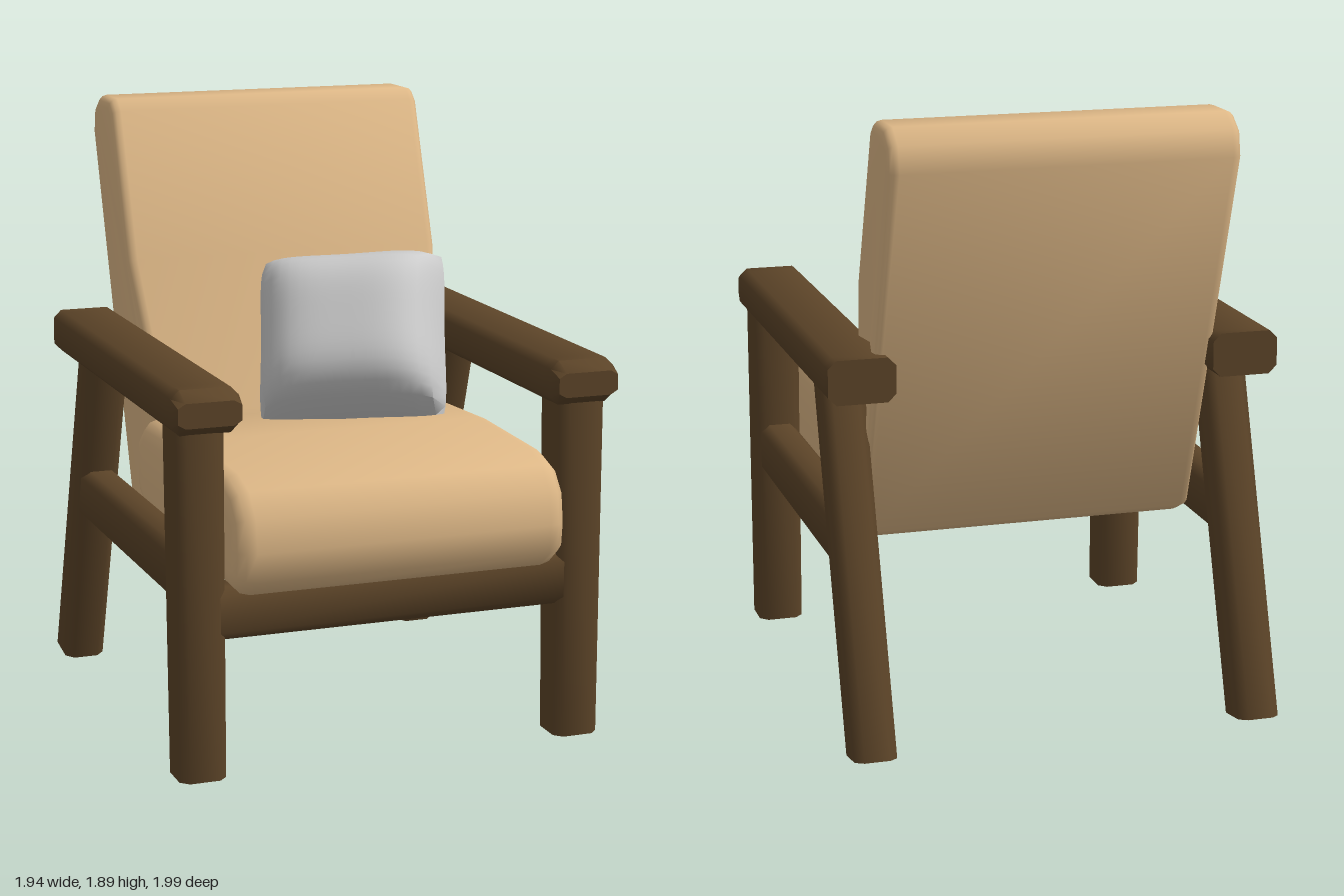
import * as THREE from 'three';
import { toCreasedNormals } from 'three/addons/utils/BufferGeometryUtils.js';

const wood = new THREE.MeshStandardMaterial({ color: 0x5c4428 });
const fabric = new THREE.MeshStandardMaterial({ color: 0xdeb887 });
const grey = new THREE.MeshStandardMaterial({ color: 0xcccccc });

// Move every vertex of a geometry by a rule
function warp(geo, rule) {
  const p = geo.attributes.position, v = new THREE.Vector3();
  for (let i = 0; i < p.count; i++) {
    v.fromBufferAttribute(p, i);
    rule(v);
    p.setXYZ(i, v.x, v.y, v.z);
  }
  return geo;
}

// Beam with chamfered long edges, running from z = 0 to z = length
function beam(w, h, c, length, steps = 1) {
  const a = w / 2, b = h / 2;
  const outline = [[a, c - b], [a, b - c], [a - c, b], [c - a, b], [-a, b - c], [-a, c - b], [c - a, -b], [a - c, -b]];
  const shape = new THREE.Shape(outline.map(([x, y]) => new THREE.Vector2(x, y)));
  return new THREE.ExtrudeGeometry(shape, { depth: length, steps, bevelEnabled: false });
}

// Cushion from a side profile of [z, y] points, with rounded left and right edges
function cushion(profile, halfWidth, bevel) {
  const shape = new THREE.Shape(profile.map(([z, y]) => new THREE.Vector2(z, y)));
  const geo = new THREE.ExtrudeGeometry(shape, {
    depth: 2 * (halfWidth - bevel), bevelThickness: bevel, bevelSize: bevel,
    bevelOffset: -bevel, bevelSegments: 3,
  });
  geo.translate(0, 0, bevel - halfWidth);
  return geo.rotateY(-Math.PI / 2);
}

function add(parent, name, geo, material, x = 0, y = 0, z = 0) {
  const mesh = new THREE.Mesh(toCreasedNormals(geo, 0.9), material);
  mesh.name = name;
  mesh.position.set(x, y, z);
  parent.add(mesh);
  return mesh;
}

// One half of the pillow: a plane swollen in the middle, with rounded corners and drawn-in sides
function pillowHalf(thickness) {
  const geo = new THREE.PlaneGeometry(2, 2, 18, 18);
  warp(geo, (v) => {
    const u = v.x, w = v.y;
    const corner = 1 - 0.06 * u ** 4 * w ** 4;
    v.x = 0.31 * u * corner * (1 - 0.04 * (1 - w * w));
    v.y = 0.285 * w * corner * (1 - 0.06 * (1 - u * u));
    v.z = thickness * Math.pow((1 - u ** 4) * (1 - w ** 4), 0.5);
  });
  geo.computeVertexNormals();
  return geo;
}

export function createModel() {
  const model = new THREE.Group();
  model.name = 'armchair';

  // The chair is turned a little to its left
  const chair = new THREE.Group();
  chair.name = 'chair';
  chair.rotation.y = 0.533;
  chair.position.set(-0.005, 0, 0.003);
  model.add(chair);

  for (const [side, s] of [['left', 1], ['right', -1]]) {
    const x = s * 0.605;

    // Armrest with softened front edges
    const arm = warp(beam(0.205, 0.135, 0.025, 1.35, 27), (v) => {
      const t = Math.max(0, v.z - 1.3) / 0.05;
      v.x *= 1 - 0.06 * t;
      v.y *= 1 - 0.45 * t;
    });
    add(chair, side + 'Armrest', arm, wood, s * 0.595, 1.138, -0.607);

    // Upright front leg, slightly deeper at the top
    const frontLeg = warp(beam(0.145, 0.145, 0.025, 1.08).rotateX(-Math.PI / 2), (v) => {
      if (v.z < 0) v.z -= 0.03 * v.y;
    });
    add(chair, side + 'FrontLeg', frontLeg, wood, x, 0.015, 0.624);

    // Back leg raked backwards, with a sloping foot
    const backLeg = warp(beam(0.13, 0.16, 0.025, 1.1).rotateX(-Math.PI / 2), (v) => {
      if (v.y < 0.01) v.y = 0.012 - 0.15 * v.z;
      v.z += 0.336 * v.y;
    });
    add(chair, side + 'BackLeg', backLeg, wood, x, 0, -0.71);

    // Side rail between the legs
    add(chair, side + 'SideRail', beam(0.12, 0.17, 0.025, 1.08), wood, x, 0.62, -0.46);
  }

  // Front rail
  add(chair, 'frontRail', beam(0.12, 0.16, 0.025, 1.16).rotateY(Math.PI / 2), wood, -0.58, 0.52, 0.63);

  // Seat cushion with a rolled front edge
  const seat = [
    [-0.28, 0.66], [-0.28, 0.84], [-0.2, 0.91], [0.2, 0.93], [0.6, 0.92], [0.7, 0.89],
    [0.76, 0.82], [0.775, 0.72], [0.765, 0.63], [0.7, 0.578], [-0.2, 0.61],
  ];
  add(chair, 'seatCushion', cushion(seat, 0.525, 0.06), fabric);

  // Reclined back cushion, tucked in where it meets the seat
  const back = [
    [-0.37, 0.60], [-0.30, 0.565], [-0.1, 0.61], [-0.07, 0.70], [-0.18, 0.93],
    [-0.355, 1.4], [-0.52, 1.86], [-0.56, 1.895], [-0.69, 1.895], [-0.75, 1.85], [-0.765, 1.77],
  ].reverse();
  const backGeo = warp(cushion(back, 0.53, 0.03), (v) => {
    if (v.y < 1 && v.z > -0.25) v.x *= 0.91;
  });
  add(chair, 'backCushion', backGeo, fabric, 0.018);

  // Loose pillow leaning on the back
  const pillow = new THREE.Group();
  pillow.name = 'pillow';
  pillow.position.set(0.085, 1.15, -0.135);
  pillow.rotation.set(-0.56, 0, 0.1);
  add(pillow, 'pillowFront', pillowHalf(0.235), grey);
  add(pillow, 'pillowBack', pillowHalf(0.02), grey).rotation.y = Math.PI;
  model.add(pillow);

  return model;
}
